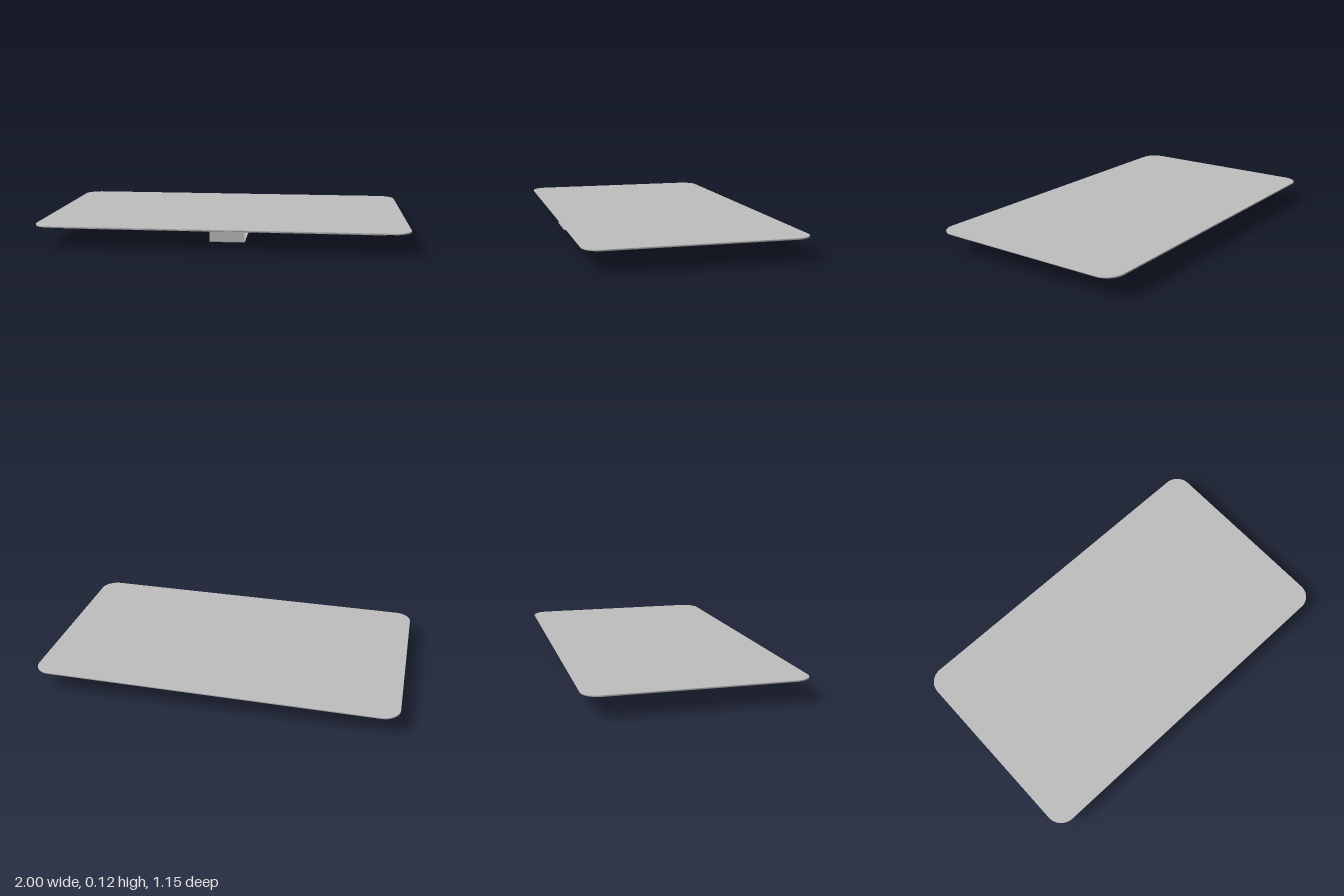
import * as THREE from 'three';

const grey = new THREE.MeshStandardMaterial({ color: 0xbfbfbf });
grey.name = 'grey';
const greySheet = new THREE.MeshStandardMaterial({ color: 0xbfbfbf, side: THREE.DoubleSide });
greySheet.name = 'grey sheet';

// Flat slab with rounded corners between two heights
function slab(name, x0, x1, z0, z1, y0, y1, r, bevel) {
  const a = x0 + bevel, b = x1 - bevel, c = -z1 + bevel, d = -z0 - bevel;
  const q = Math.PI / 2;
  const s = new THREE.Shape();
  s.absarc(b - r, c + r, r, -q, 0);
  s.absarc(b - r, d - r, r, 0, q);
  s.absarc(a + r, d - r, r, q, 2 * q);
  s.absarc(a + r, c + r, r, 2 * q, 3 * q);
  s.closePath();
  const geo = new THREE.ExtrudeGeometry(s, {
    depth: y1 - y0 - 2 * bevel, curveSegments: 12,
    bevelEnabled: bevel > 0, bevelSize: bevel, bevelThickness: bevel, bevelSegments: 2,
  });
  geo.rotateX(-q);
  geo.translate(0, y0 + bevel, 0);
  const mesh = new THREE.Mesh(geo, grey);
  mesh.name = name;
  return mesh;
}

// Thin bent sheet: a side profile of [z, y] points swept across x
function ribbon(name, x0, x1, profile) {
  const geo = new THREE.PlaneGeometry(1, 1, 1, profile.length - 1);
  const p = geo.attributes.position;
  profile.forEach(([z, y], i) => {
    p.setXYZ(2 * i, x0, y, z);
    p.setXYZ(2 * i + 1, x1, y, z);
  });
  const flat = geo.toNonIndexed();
  flat.computeVertexNormals();
  const mesh = new THREE.Mesh(flat, greySheet);
  mesh.name = name;
  return mesh;
}

// Quarter-round bend in the side profile
function bend(cz, cy, r, from, to) {
  return [0, 1, 2, 3, 4].map((i) => {
    const t = THREE.MathUtils.degToRad(from + ((to - from) * i) / 4);
    return [cz + r * Math.cos(t), cy + r * Math.sin(t)];
  });
}

export function createModel() {
  const g = new THREE.Group();
  g.name = 'touchPanel';

  // Cover glass, display module behind it and its active area
  g.add(slab('coverGlass', -1, 1, -0.575, 0.575, 0.111, 0.12, 0.09, 0.002));
  g.add(slab('displayModule', -0.84, 0.87, -0.5, 0.527, 0.098, 0.1115, 0.006, 0.002));
  g.add(slab('activeArea', -0.81, 0.81, -0.46, 0.46, 0.0974, 0.1, 0.002, 0));

  // Wide flex cable folded back under the panel
  g.add(ribbon('flexCable', -0.05, 0.135, [
    [0.536, 0.1115], ...bend(0.53, 0.05, 0.006, 0, -90), [0.21, 0.044],
  ]));

  // Narrow cable tail stepping down to its connector end
  g.add(ribbon('cableTail', 0.02, 0.06, [
    [0.21, 0.044], ...bend(0.198, 0.033, 0.011, 90, 180).map(([z, y]) => [z, y]),
    ...bend(0.176, 0.011, 0.011, 0, -90), [0.12, 0],
  ]));
  return g;
}
